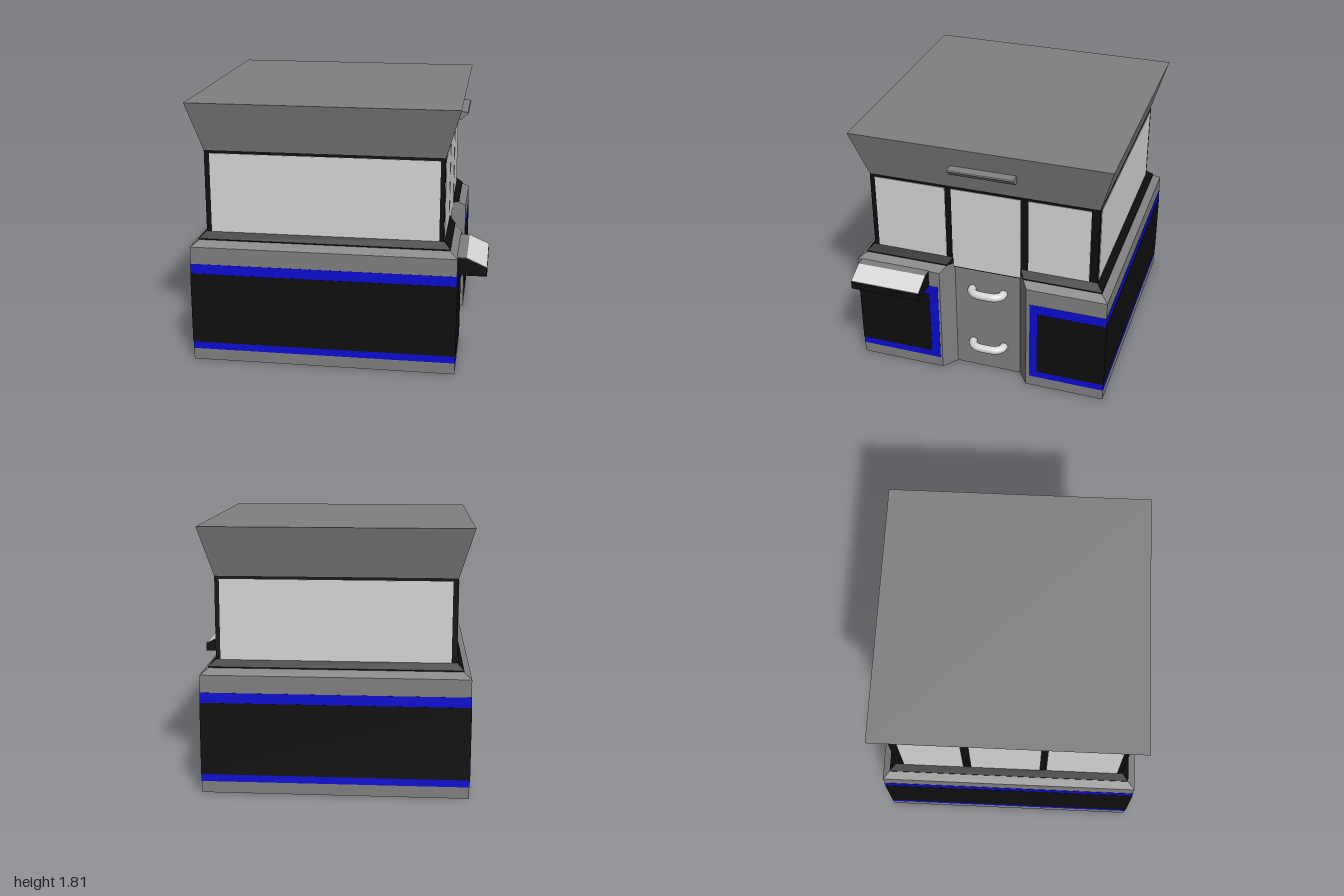
import * as THREE from 'three';

const paint = (name, color) => Object.assign(new THREE.MeshStandardMaterial({ color }), { name });

export function createModel() {
  const grey = paint('grey', 0x808080);
  const black = paint('black', 0x0e0e0e);
  const blue = paint('blue', 0x0c0cd4);
  const pale = paint('pale', 0xd6d6d6);

  const model = new THREE.Group();
  model.name = 'kiosk';
  const booth = new THREE.Group(); // square booth, centred on its own axis
  booth.name = 'booth';
  booth.position.x = -0.097;
  model.add(booth);

  const add = (name, geometry, material, parent = booth) => {
    const mesh = new THREE.Mesh(geometry, material);
    mesh.name = name;
    parent.add(mesh);
    return mesh;
  };

  // Box given by its minimum and maximum corners
  const block = (name, [x0, y0, z0], [x1, y1, z1], material) => {
    const mesh = add(name, new THREE.BoxGeometry(x1 - x0, y1 - y0, z1 - z0), material);
    mesh.position.set((x0 + x1) / 2, (y0 + y1) / 2, (z0 + z1) / 2);
  };

  // Side profile (x, y) extruded from z0 to z1
  const prism = (name, points, z0, z1, material) => {
    const shape = new THREE.Shape(points.map(([x, y]) => new THREE.Vector2(x, y)));
    const geometry = new THREE.ExtrudeGeometry(shape, { depth: z1 - z0, bevelEnabled: false });
    add(name, geometry.translate(0, 0, z0), material, model);
  };

  // Faceted solid through [y, ring] levels, rings running anticlockwise seen from above
  const loft = (levels) => {
    const pos = [];
    const n = levels[0][1].length;
    const put = (l, i) => pos.push(levels[l][1][i][0], levels[l][0], levels[l][1][i][1]);
    for (let l = 0; l < levels.length - 1; l++) {
      for (let i = 0; i < n; i++) {
        const j = (i + 1) % n;
        put(l, i); put(l, j); put(l + 1, j);
        put(l, i); put(l + 1, j); put(l + 1, i);
      }
    }
    const last = levels.length - 1;
    for (const l of [0, last]) {
      const outline = levels[l][1].map(([x, z]) => new THREE.Vector2(x, -z));
      for (const [a, b, c] of THREE.ShapeUtils.triangulateShape(outline, [])) {
        (l === 0 ? [c, b, a] : [a, b, c]).forEach((i) => put(l, i));
      }
    }
    const geometry = new THREE.BufferGeometry();
    geometry.setAttribute('position', new THREE.Float32BufferAttribute(pos, 3));
    geometry.computeVertexNormals();
    return geometry;
  };

  const H = 0.903, CAB = 0.806, DOOR = 0.8;
  const square = (h) => [[h, h], [h, -h], [-h, -h], [-h, h]];
  // Square inset by t, with the splayed door recess on its +x side
  const notched = (t) => {
    const h = H - t, k = t / (H - DOOR);
    return [[h, h], [h, 0.29 - 0.08 * k], [DOOR, 0.21], [DOOR, -0.265],
      [h, -0.34 + 0.075 * k], [h, -h], [-h, -h], [-h, h]];
  };

  // Lower body, window sill, cab frame and flared roof
  add('body', loft([[0, notched(0)], [0.82, notched(0)], [0.86, notched(0.055)]]), grey);
  add('windowSill', loft([[0.86, notched(0.05)], [0.868, notched(0.05)], [0.91, notched(0.095)]]), black);
  add('cabFrame', loft([[0.83, square(CAB)], [1.475, square(CAB)]]), black);
  add('roof', loft([[1.475, square(CAB)], [1.81, square(H)]]), grey);

  // Windows: one wide pane front and back, three panes on each side
  const G = CAB + 0.004;
  for (const s of [-1, 1]) {
    const z = [s * CAB, s * G].sort((a, b) => a - b);
    block('wideWindow', [-0.77, 0.9, z[0]], [0.775, 1.455, z[1]], pale);
    const x = [s * CAB, s * G].sort((a, b) => a - b);
    for (const [z0, z1] of [[0.265, 0.77], [-0.27, 0.22], [-0.75, -0.325]]) {
      const bottom = s > 0 && z0 === -0.27 ? 0.84 : 0.905; // door pane reaches lower
      block('sideWindow', [x[0], bottom, z0], [x[1], 1.455, z1], pale);
    }
  }

  // Blue bordered black panels around the body
  const B = H + 0.002, K = H + 0.004;
  const bands = [[0.08, 0.7, B, blue, 'bluePanel', 0.305, -0.365],
    [0.13, 0.63, K, black, 'blackPanel', 0.37, -0.42]];
  for (const [y0, y1, r, material, name, front, back] of bands) {
    block(name + 'Front', [-r, y0, H], [r, y1, r], material);
    block(name + 'Back', [-r, y0, -r], [r, y1, -H], material);
    block(name + 'Left', [-r, y0, -r], [-H, y1, r], material);
    block(name + 'DoorFront', [H, y0, front], [r, y1, r], material);
    block(name + 'DoorBack', [H, y0, -r], [r, y1, back], material);
  }

  // Counter shelf beside the door
  prism('shelf', [[0.8, 0.7], [1, 0.7], [1, 0.76], [0.865, 0.82], [0.8, 0.82]], 0.37, 0.87, black);
  prism('shelfTop', [[0.8, 0.82], [0.865, 0.82], [0.865, 0.823], [0.8, 0.823]], 0.37, 0.87, grey);
  prism('shelfSlope', [[0.865, 0.82], [1, 0.76], [1, 0.763], [0.865, 0.823]], 0.37, 0.87, pale);

  // Small hood on the roof flare above the door
  prism('roofHood', [[0.735, 1.61], [0.773, 1.6], [0.826, 1.649], [0.82, 1.655], [0.75, 1.665]], -0.255, 0.2, grey);

  // Two bowed door handles
  for (const y of [0.67, 0.21]) {
    const path = new THREE.CatmullRomCurve3([[0.78, 0.085], [0.83, 0.08], [0.862, 0.045],
      [0.87, -0.03], [0.862, -0.105], [0.83, -0.14], [0.78, -0.145]]
      .map(([x, z]) => new THREE.Vector3(x, y, z)));
    add('doorHandle', new THREE.TubeGeometry(path, 28, 0.03, 14), pale);
  }

  return model;
}
